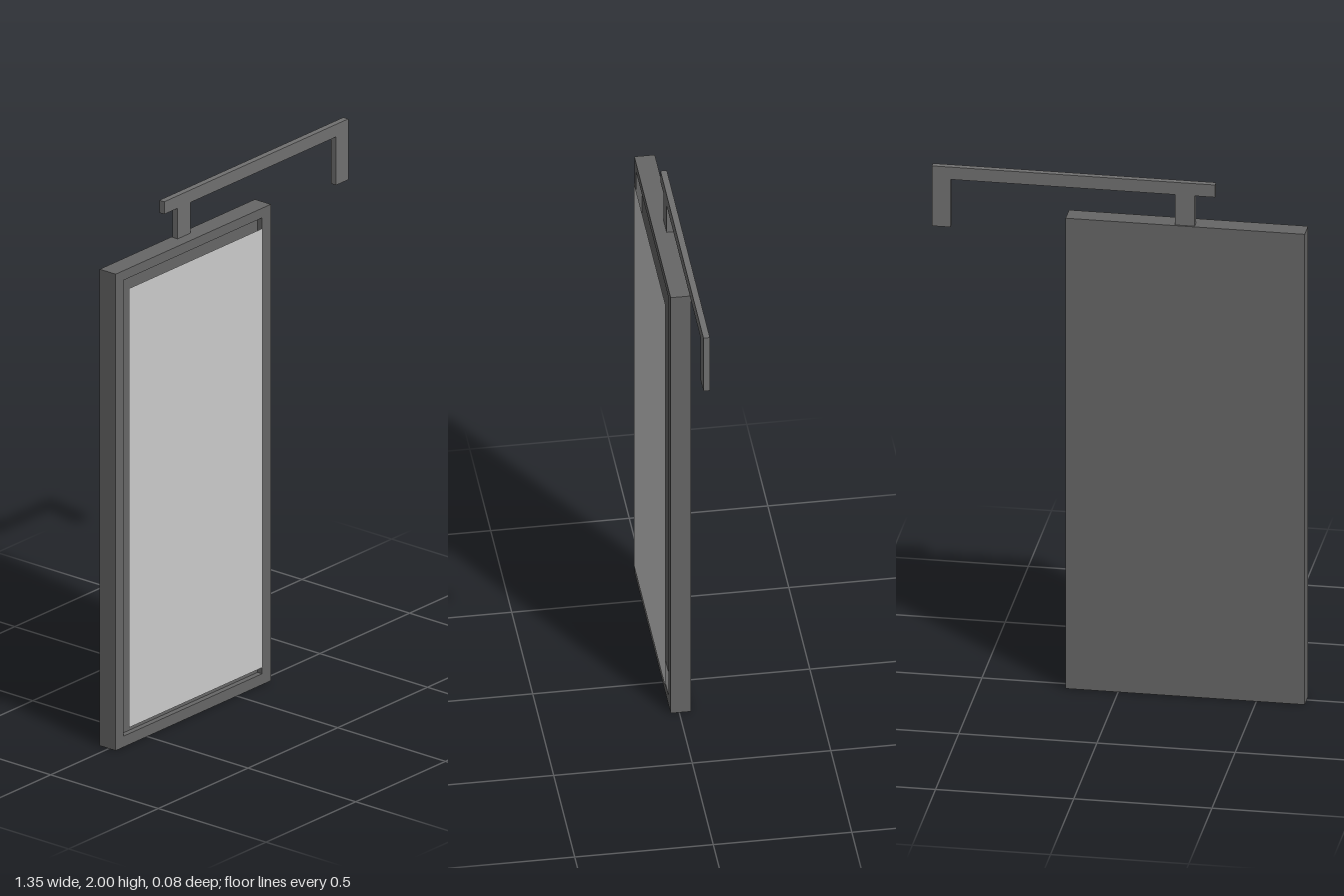
import * as THREE from 'three';

const frameMat = new THREE.MeshStandardMaterial({ color: 0x666666 });
const armMat = new THREE.MeshStandardMaterial({ color: 0x707070 });
const panelMat = new THREE.MeshStandardMaterial({ color: 0xcccccc, side: THREE.DoubleSide });

const polygon = (points) => points.map(([x, y]) => new THREE.Vector2(x, y));
const rect = (x0, x1, y0, y1) => polygon([[x0, y0], [x1, y0], [x1, y1], [x0, y1]]);

// Flat outline extruded between two depths
function slab(name, outline, z0, z1, material, hole) {
  const shape = new THREE.Shape(outline);
  if (hole) shape.holes.push(new THREE.Path(hole));
  const geometry = new THREE.ExtrudeGeometry(shape, { depth: z1 - z0, bevelEnabled: false });
  geometry.translate(0, 0, z0);
  const mesh = new THREE.Mesh(geometry, material);
  mesh.name = name;
  return mesh;
}

export function createModel() {
  const model = new THREE.Group();
  model.name = 'hangingSign';

  // Casing: solid back with a raised rim around a shallow recess
  const outer = rect(-0.675, 0.19, 0, 1.834);
  const inner = rect(-0.631, 0.141, 0.042, 1.797);
  const casing = new THREE.Group();
  casing.name = 'casing';
  casing.add(
    slab('casingBack', outer, -0.043, 0.01, frameMat),
    slab('casingRim', outer, 0.01, 0.031, frameMat, inner),
  );
  model.add(casing);

  // Thin display sheet just in front of the rim
  const sheet = new THREE.Mesh(new THREE.PlaneGeometry(0.746, 1.69), panelMat);
  sheet.name = 'displayPanel';
  sheet.position.set(-0.241, 0.917, 0.041);
  model.add(sheet);

  // Bracket: post, horizontal arm and downturned end in one plate
  const bracket = polygon([
    [-0.276, 1.834], [-0.204, 1.834], [-0.204, 1.952], [0.607, 1.952],
    [0.607, 1.766], [0.675, 1.766], [0.675, 2], [-0.35, 2],
    [-0.35, 1.952], [-0.276, 1.952],
  ]);
  model.add(slab('bracketArm', bracket, -0.037, -0.014, armMat));

  return model;
}
